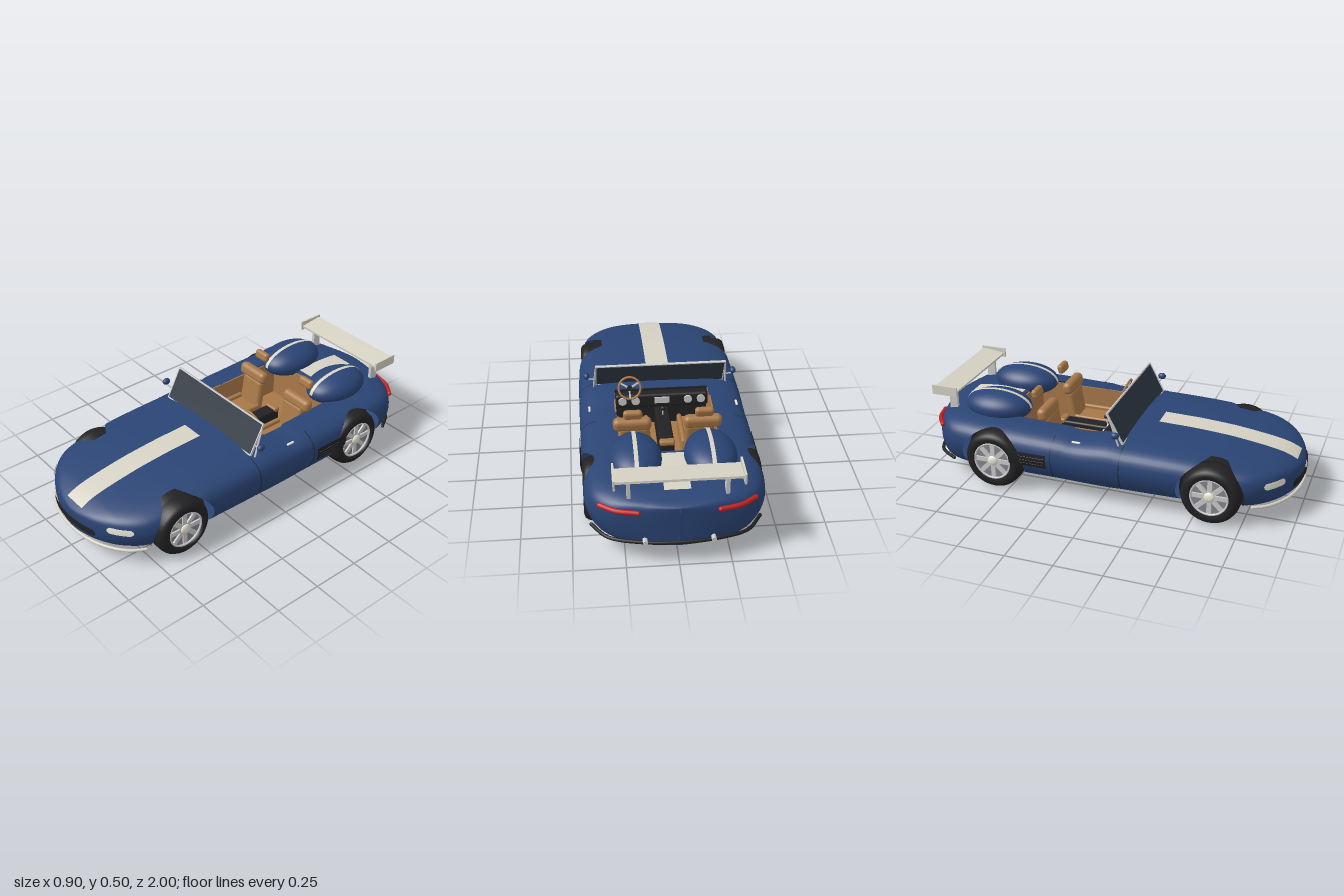
import * as THREE from 'three';
import { RoundedBoxGeometry } from 'three/addons/geometries/RoundedBoxGeometry.js';

const V = (x, y, z) => new THREE.Vector3(x, y, z);
const mat = (color, side = THREE.FrontSide) => new THREE.MeshStandardMaterial({ color, side });
const blue = mat(0x2a4474, THREE.DoubleSide), pale = mat(0xd6d2c4, THREE.DoubleSide), black = mat(0x222224, THREE.DoubleSide);
const leather = mat(0xa87848), silver = mat(0xc4c4c8), grey = mat(0x85868c), red = mat(0xc02020);
const glass = mat(0x2e3842), lamp = mat(0xece8d8, THREE.DoubleSide);

function add(parent, name, geo, material, x = 0, y = 0, z = 0) {
  const m = new THREE.Mesh(geo, material);
  m.name = name;
  m.position.set(x, y, z);
  parent.add(m);
  return m;
}
const box = (w, h, d) => new THREE.BoxGeometry(w, h, d);
const soft = (w, h, d, r) => new RoundedBoxGeometry(w, h, d, 3, r);

// Round bar between two points
function bar(parent, name, a, b, r, material) {
  const m = add(parent, name, new THREE.CylinderGeometry(r, r, a.distanceTo(b), 10), material);
  m.position.copy(a).lerp(b, 0.5);
  m.quaternion.setFromUnitVectors(V(0, 1, 0), b.clone().sub(a).normalize());
}

// Level rail with round ends through [x, z] points
function rail(parent, name, pts, y, r, material) {
  const path = pts.map(p => V(p[0], y, p[1]));
  const g = add(parent, name, new THREE.TubeGeometry(new THREE.CatmullRomCurve3(path), 60, r, 12), material);
  for (const e of [path[0], path[path.length - 1]]) add(g, 'railEnd', new THREE.SphereGeometry(r, 12, 8), material, e.x, e.y, e.z);
}
const mirrored = pts => [...pts, ...pts.slice(0, -1).reverse().map(p => [-p[0], p[1]])];

// Triangles as lists of {p, n}, so a surface can be cut into panels
function toTris(geo) {
  const g = geo.toNonIndexed(), P = g.attributes.position, N = g.attributes.normal, out = [];
  const vert = i => ({ p: V().fromBufferAttribute(P, i), n: V().fromBufferAttribute(N, i) });
  for (let i = 0; i < P.count; i += 3) out.push([vert(i), vert(i + 1), vert(i + 2)]);
  return out;
}
function toGeo(tris, offset = 0) {
  const pos = [], nor = [];
  for (const { p, n } of tris.flat()) {
    pos.push(...p.clone().addScaledVector(n, offset).toArray());
    nor.push(n.x, n.y, n.z);
  }
  const g = new THREE.BufferGeometry();
  g.setAttribute('position', new THREE.Float32BufferAttribute(pos, 3));
  g.setAttribute('normal', new THREE.Float32BufferAttribute(nor, 3));
  return g;
}
function clip(tris, f) {
  const out = [];
  for (const t of tris) {
    const d = t.map(v => f(v.p)), poly = [];
    for (let i = 0; i < 3; i++) {
      const j = (i + 1) % 3;
      if (d[i] >= 0) poly.push(t[i]);
      if ((d[i] >= 0) !== (d[j] >= 0)) {
        const k = d[i] / (d[i] - d[j]);
        poly.push({ p: t[i].p.clone().lerp(t[j].p, k), n: t[i].n.clone().lerp(t[j].n, k).normalize() });
      }
    }
    for (let i = 2; i < poly.length; i++) out.push([poly[0], poly[i - 1], poly[i]]);
  }
  return out;
}
const keep = (tris, fs) => fs.reduce(clip, tris);
function remove(tris, fs) {
  const out = [];
  for (const f of fs) {
    for (const t of clip(tris, p => -f(p))) out.push(t);
    tris = clip(tris, f);
  }
  return out;
}
const range = (get, lo, hi) => [p => get(p) - lo, p => hi - get(p)];
const X = p => p.x, Y = p => p.y, Z = p => p.z, AX = p => Math.abs(p.x);
// Rectangle in x and y with clipped corners
function pill(x0, x1, y0, y1) {
  const c = (y1 - y0) * 0.3, fs = [...range(AX, x0, x1), ...range(Y, y0, y1)];
  for (const s of [-1, 1]) for (const q of [-1, 1]) {
    fs.push(p => (s > 0 ? x1 - AX(p) : AX(p) - x0) + (q > 0 ? y1 - p.y : p.y - y0) - c);
  }
  return fs;
}

// Body lofted through stations: z, half width, bottom, top
function bodySurface() {
  const st = [[0.988, 0, 0.13, 0.225], [0.977, 0.1, 0.12, 0.24], [0.945, 0.2, 0.107, 0.262], [0.88, 0.305, 0.092, 0.288],
    [0.78, 0.387, 0.08, 0.308], [0.6, 0.425, 0.07, 0.332], [0.4, 0.435, 0.067, 0.345], [0.12, 0.44, 0.065, 0.35],
    [-0.2, 0.44, 0.065, 0.35], [-0.5, 0.44, 0.065, 0.358], [-0.72, 0.438, 0.067, 0.362], [-0.84, 0.41, 0.075, 0.355],
    [-0.92, 0.335, 0.09, 0.342], [-0.965, 0.2, 0.1, 0.332], [-0.982, 0.1, 0.105, 0.325], [-0.988, 0, 0.11, 0.32]];
  const plan = new THREE.CatmullRomCurve3(st.map(s => V(s[0], s[1], 0)));
  const side = new THREE.CatmullRomCurve3(st.map(s => V(s[2], s[3], 0)));
  const half = new THREE.CatmullRomCurve3([[0, 0], [0.45, 0.01], [0.72, 0.035], [0.87, 0.12], [0.96, 0.3], [1, 0.5], [1, 0.62],
    [0.97, 0.78], [0.9, 0.88], [0.77, 0.945], [0.575, 0.98], [0.3, 0.996], [0, 1]].map(a => V(a[0], a[1], 0))).getPoints(30);
  const ring = [...half, ...half.slice(1, -1).reverse().map(p => V(-p.x, p.y, 0))];
  const n = ring.length, rows = 120, pos = [], idx = [];
  for (let i = 0; i <= rows; i++) {
    const a = plan.getPoint(i / rows), b = side.getPoint(i / rows);
    for (const r of ring) pos.push(r.x * Math.max(a.y, 0.0005), b.x + r.y * (b.y - b.x), a.x);
    for (let j = 0; j < n && i < rows; j++) {
      const p = i * n + j, q = i * n + (j + 1) % n;
      idx.push(p, p + n, q, q, p + n, q + n);
    }
  }
  const g = new THREE.BufferGeometry();
  g.setAttribute('position', new THREE.Float32BufferAttribute(pos, 3));
  g.setIndex(idx);
  g.computeVertexNormals();
  return toTris(g);
}

// Wheel with its outer face toward +x
function wheel(r, w) {
  const g = new THREE.Group(), h = w / 2, R = 0.64 * r;
  const disc = (rad, t, x) => new THREE.CylinderGeometry(rad, rad, t, 32).rotateZ(-Math.PI / 2).translate(x, 0, 0);
  const tread = [[R, -h * 0.94], [r * 0.78, -h], [r * 0.9, -h * 0.9], [r * 0.97, -h * 0.66], [r, -h * 0.3]];
  const profile = [...tread, ...tread.map(p => [p[0], -p[1]]).reverse(), tread[0]].map(p => new THREE.Vector2(...p));
  add(g, 'tire', new THREE.LatheGeometry(profile, 48).rotateZ(-Math.PI / 2), black);
  add(g, 'rimDisc', disc(R, 0.02, h - 0.03), grey);
  add(g, 'innerRim', disc(R * 0.6, 0.01, -h), silver);
  add(g, 'rimRing', new THREE.TorusGeometry(R - 0.003, 0.006, 8, 40).rotateY(Math.PI / 2), silver, h - 0.008);
  for (let i = 0; i < 8; i++) {
    add(g, 'spoke', box(0.014, R - 0.01, 0.024).translate(0, R / 2, 0), silver, h - 0.018).rotation.x = i * Math.PI / 4;
  }
  add(g, 'hub', new THREE.SphereGeometry(0.028, 20, 12).scale(0.5, 1, 1), lamp, h - 0.012);
  return g;
}

export function createModel() {
  const car = new THREE.Group();
  car.name = 'roadster';
  const surface = bodySurface();

  // Shell with wheel arches and cockpit cut out
  const wheels = [{ z: 0.59, r: 0.155, arch: 0.172, x: 0.359, w: 0.125 }, { z: -0.58, r: 0.16, arch: 0.174, x: 0.37, w: 0.135 }];
  let shell = remove(surface, [p => p.y - 0.25, ...range(X, -0.25, 0.25), ...range(Z, -0.58, 0.03)]);
  for (const k of wheels) shell = remove(shell, [p => AX(p) - 0.3, p => k.arch - Math.hypot(p.z - k.z, p.y - k.r)]);
  add(car, 'body', toGeo(shell), blue);

  // Panels and trims that follow the body
  const trim = (name, material, offset, ...fs) => add(car, name, toGeo(keep(surface, fs), offset), material);
  const front = p => p.z - 0.7, up = p => p.y - 0.2;
  trim('hoodStripe', pale, 0.003, ...range(X, -0.063, 0.063), ...range(Z, 0.22, 0.955), up);
  trim('deckStripe', pale, 0.003, ...range(X, -0.063, 0.063), ...range(Z, -0.88, -0.6), up);
  trim('grille', black, 0.009, front, ...pill(-1, 0.178, 0.157, 0.198));
  trim('headlights', lamp, 0.006, front, ...pill(0.236, 0.342, 0.205, 0.238));
  trim('sideVents', black, 0.006, p => AX(p) - 0.38, ...range(Y, 0.175, 0.25), ...range(Z, -0.48, -0.27));
  for (let i = 0; i < 3; i++) trim('ventLouver', grey, 0.009, p => AX(p) - 0.38, ...range(Y, 0.193 + i * 0.018, 0.195 + i * 0.018), ...range(Z, -0.42, -0.28));
  for (const z of [0.125, -0.245]) trim('doorSeam', black, 0.002, p => AX(p) - 0.3, ...range(Y, 0.12, 0.33), ...range(Z, z - 0.002, z + 0.002));
  rail(car, 'frontBumper', mirrored([[0.372, 0.8], [0.335, 0.862], [0.265, 0.92], [0.16, 0.967], [0, 0.988]]), 0.117, 0.008, pale);
  rail(car, 'rearBumper', mirrored([[0.405, -0.82], [0.33, -0.922], [0.19, -0.97], [0, -0.988]]), 0.126, 0.009, black);
  for (const s of [-1, 1]) rail(car, 'tailLight', [[s * 0.365, -0.895], [s * 0.29, -0.946], [s * 0.19, -0.972]], 0.296, 0.012, red);

  // Wheels and arch liners
  for (const k of wheels) for (const s of [-1, 1]) {
    const w = wheel(k.r, k.w);
    w.name = k.z > 0 ? 'frontWheel' : 'rearWheel';
    w.position.set(s * k.x, k.r, k.z);
    w.rotation.y = s > 0 ? 0 : Math.PI;
    car.add(w);
    add(car, 'archLiner', new THREE.CylinderGeometry(k.arch, k.arch, 0.05, 48, 1, true, Math.PI - 0.4, Math.PI + 0.8).rotateZ(-Math.PI / 2), black, s * 0.323, k.r, k.z);
    add(car, 'archWall', new THREE.CircleGeometry(k.arch, 48, -0.5, Math.PI + 1).rotateY(s * Math.PI / 2), black, s * 0.298, k.r, k.z);
  }

  // Cockpit
  add(car, 'cockpitFloor', box(0.5, 0.01, 0.61), leather, 0, 0.125, -0.275);
  add(car, 'rearBulkhead', box(0.5, 0.22, 0.008), leather, 0, 0.235, -0.583);
  add(car, 'frontBulkhead', box(0.5, 0.22, 0.008), black, 0, 0.235, 0.033);
  for (const s of [-1, 1]) add(car, 'cockpitWall', box(0.008, 0.215, 0.61), leather, s * 0.253, 0.233, -0.275);
  add(car, 'dashboard', soft(0.498, 0.08, 0.06, 0.015), black, 0, 0.302, 0.0);
  for (const x of [-0.21, -0.14, 0.14, 0.21]) add(car, 'gauge', new THREE.CylinderGeometry(0.022, 0.022, 0.015, 20).rotateX(Math.PI / 2), silver, x, 0.31, -0.032);
  add(car, 'dashPanel', box(0.08, 0.035, 0.01), silver, 0, 0.31, -0.032);
  add(car, 'console', soft(0.075, 0.13, 0.36, 0.012), black, 0, 0.19, -0.18);
  add(car, 'armrest', soft(0.08, 0.03, 0.04, 0.012), leather, 0, 0.25, -0.345);
  bar(car, 'gearLever', V(0, 0.25, -0.09), V(0, 0.295, -0.1), 0.004, silver);
  add(car, 'gearKnob', new THREE.SphereGeometry(0.012, 14, 10), black, 0, 0.3, -0.1);
  for (const s of [-1, 1]) {
    const seat = new THREE.Group();
    seat.name = 'seat';
    seat.position.x = s * 0.178;
    add(seat, 'cushion', soft(0.16, 0.07, 0.28, 0.02), leather, s * -0.014, 0.185, -0.19);
    for (const q of [-1, 1]) add(seat, 'bolster', soft(0.025, 0.09, 0.26, 0.011), leather, s * -0.014 + q * 0.075, 0.195, -0.19);
    add(seat, 'backrest', soft(0.15, 0.2, 0.05, 0.022), leather, s * -0.014, 0.27, -0.34).rotation.x = -0.17;
    add(seat, 'shoulderRest', soft(0.195, 0.07, 0.058, 0.026), leather, 0, 0.383, -0.362).rotation.x = -0.17;
    add(seat, 'headrest', soft(0.095, 0.052, 0.036, 0.017), leather, 0, 0.474, -0.42).rotation.x = -0.25;
    car.add(seat);
  }

  // Steering wheel on the left
  const steer = new THREE.Group();
  steer.name = 'steeringWheel';
  steer.position.set(0.172, 0.4, -0.045);
  steer.rotation.x = 0.4;
  add(steer, 'steeringRim', new THREE.TorusGeometry(0.058, 0.006, 10, 36), leather);
  add(steer, 'steeringHub', new THREE.CylinderGeometry(0.014, 0.014, 0.014, 16).rotateX(Math.PI / 2), black);
  for (const a of [0, 2.09, 4.19]) add(steer, 'steeringSpoke', box(0.01, 0.056, 0.004).translate(0, -0.028, 0), silver).rotation.z = a;
  car.add(steer);
  bar(car, 'steeringColumn', V(0.172, 0.4, -0.045), V(0.172, 0.32, 0.01), 0.008, black);

  // Windshield
  const shield = new THREE.Group();
  shield.name = 'windshield';
  shield.position.set(0, 0.415, 0.073);
  shield.rotation.x = -0.488;
  add(shield, 'glass', box(0.685, 0.175, 0.006), glass);
  for (const s of [-1, 1]) {
    add(shield, 'frameRail', box(0.692, 0.007, 0.012), silver, 0, s * 0.088, 0);
    add(shield, 'frameSide', box(0.006, 0.18, 0.012), silver, s * 0.345, 0, 0);
  }
  car.add(shield);

  for (const s of [-1, 1]) {
    bar(car, 'quarterPillar', V(s * 0.36, 0.325, 0.1), V(s * 0.347, 0.47, 0.045), 0.005, silver);
    bar(car, 'mirrorArm', V(s * 0.345, 0.385, 0.085), V(s * 0.395, 0.388, 0.09), 0.004, silver);
    add(car, 'mirror', new THREE.SphereGeometry(0.018, 18, 12).scale(0.95, 1, 1.25), blue, s * 0.396, 0.404, 0.092);
    add(car, 'doorHandle', soft(0.012, 0.01, 0.045, 0.004), lamp, s * 0.388, 0.327, -0.12);
    add(car, 'exhaust', new THREE.CylinderGeometry(0.012, 0.012, 0.05, 16).rotateX(Math.PI / 2), silver, s * 0.16, 0.14, -0.975);

    // Headrest fairing and its stripe
    const dome = new THREE.SphereGeometry(1, 40, 28).scale(0.128, 0.083, 0.184);
    add(car, 'fairing', dome, blue, s * 0.182, 0.375, -0.643);
    add(car, 'fairingStripe', toGeo(keep(toTris(dome), [...range(X, -0.01, 0.01), p => p.y]), 0.003), pale, s * 0.182, 0.375, -0.643);

    // Rear wing supports and end plates
    add(car, 'wingPost', box(0.018, 0.125, 0.045), silver, s * 0.23, 0.398, -0.89);
    add(car, 'wingEndPlate', box(0.01, 0.052, 0.145), pale, s * 0.298, 0.46, -0.905);
  }
  add(car, 'wing', box(0.595, 0.012, 0.13), pale, 0, 0.461, -0.905).rotation.x = 0.12;
  return car;
}
